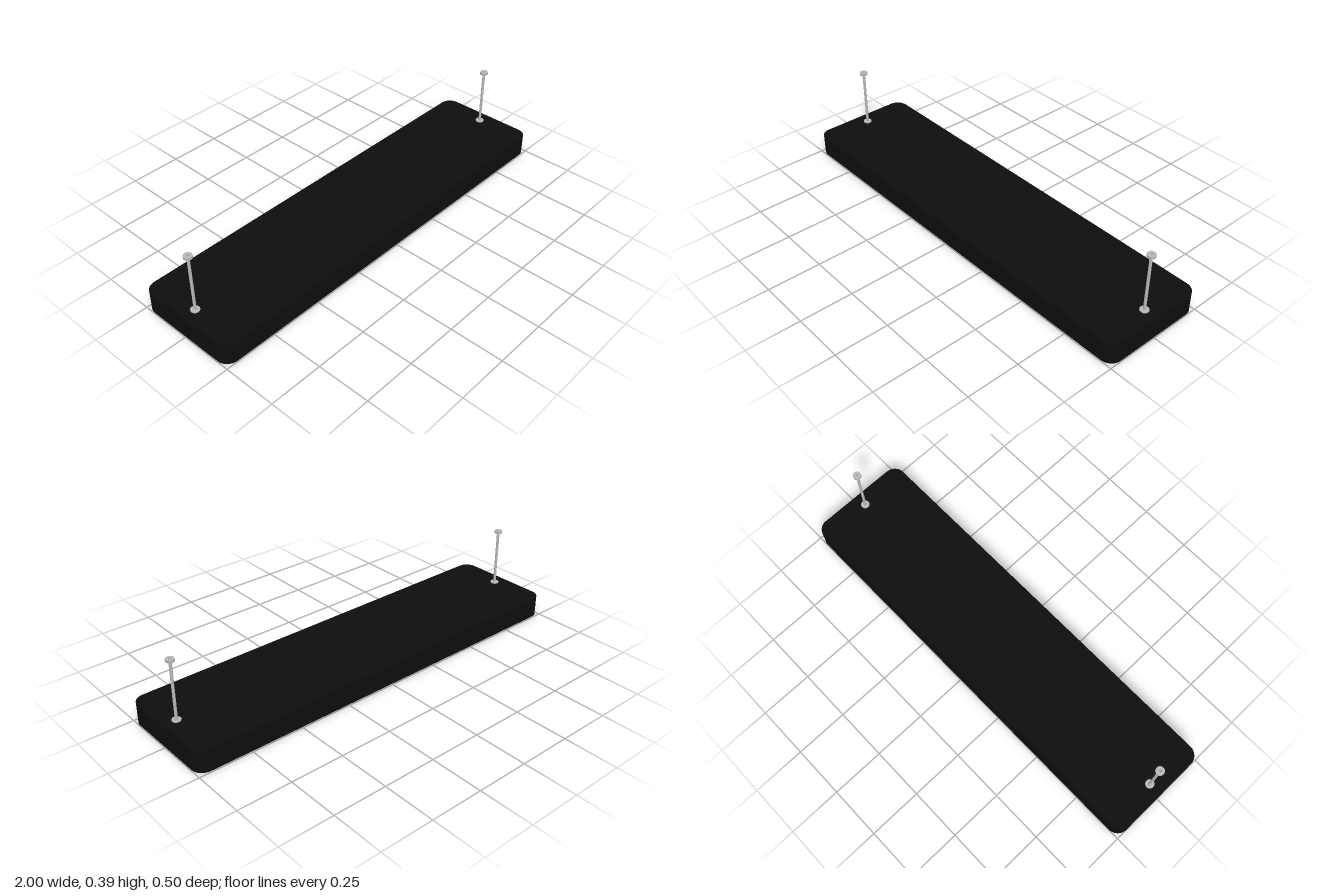
import * as THREE from 'three';
import { toCreasedNormals } from 'three/addons/utils/BufferGeometryUtils.js';

// Flat slab with rounded corners, lying in the xz plane from y0 to y0 + height
function roundedSlab(width, depth, radius, y0, height) {
  const w = width / 2, d = depth / 2, r = radius;
  const shape = new THREE.Shape();
  shape.absarc(w - r, d - r, r, 0, Math.PI / 2);
  shape.absarc(-w + r, d - r, r, Math.PI / 2, Math.PI);
  shape.absarc(-w + r, -d + r, r, Math.PI, Math.PI * 1.5);
  shape.absarc(w - r, -d + r, r, Math.PI * 1.5, Math.PI * 2);
  const geometry = new THREE.ExtrudeGeometry(shape, { depth: height, bevelEnabled: false, curveSegments: 12 });
  geometry.rotateX(-Math.PI / 2).translate(0, y0, 0);
  return toCreasedNormals(geometry, 0.6);
}

// Hollow ring or tube with a square section, from y0 to y1
function tube(inner, outer, y0, y1) {
  const profile = [[inner, y0], [outer, y0], [outer, y1], [inner, y1], [inner, y0]]
    .map(([x, y]) => new THREE.Vector2(x, y));
  return toCreasedNormals(new THREE.LatheGeometry(profile, 24), 0.6);
}

export function createModel() {
  const black = new THREE.MeshStandardMaterial({ name: 'black housing', color: 0x0e0e0e });
  const metal = new THREE.MeshStandardMaterial({ name: 'brushed metal', color: 0xb8b8b8 });
  const white = new THREE.MeshStandardMaterial({ name: 'white diffuser', color: 0xe0e0e0 });

  const model = new THREE.Group();
  model.name = 'pendantLamp';
  const add = (parent, name, geometry, material) => {
    const mesh = new THREE.Mesh(geometry, material);
    mesh.name = name;
    parent.add(mesh);
  };

  // Lamp housing and the slightly inset light panel below it
  add(model, 'housing', roundedSlab(2, 0.5, 0.055, 0.005, 0.1), black);
  add(model, 'lightPanel', roundedSlab(1.98, 0.48, 0.045, 0, 0.005), white);

  // A hollow hanging rod with flange and cap at each end
  for (const side of [-1, 1]) {
    const hanger = new THREE.Group();
    hanger.name = side > 0 ? 'leftHanger' : 'rightHanger';
    hanger.position.x = side * 0.936;
    add(hanger, 'flange', tube(0.005, 0.02, 0.105, 0.11), metal);
    add(hanger, 'rod', tube(0.005, 0.0065, 0.11, 0.378), metal);
    add(hanger, 'cap', tube(0.0065, 0.019, 0.378, 0.39), metal);
    model.add(hanger);
  }
  return model;
}
